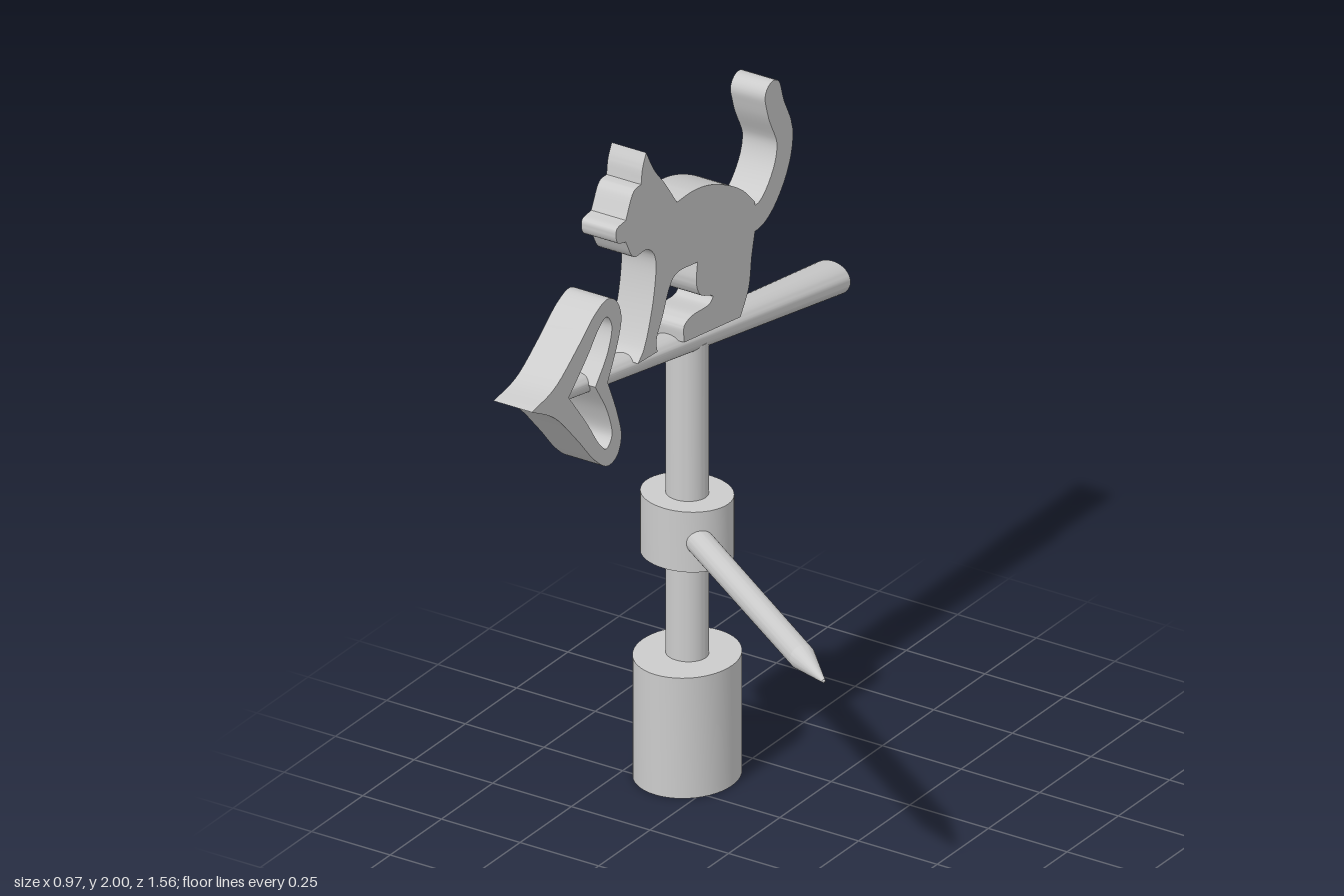
import * as THREE from 'three';
import { toCreasedNormals } from 'three/addons/utils/BufferGeometryUtils.js';

const V2 = (x, y) => new THREE.Vector2(x, y);
const V3 = (x, y, z) => new THREE.Vector3(x, y, z);
const UP = V3(0, 1, 0);
const POLE_X = -0.35, POLE_Z = -0.085;

// Smooth curve through [z, y] points given in hundredths
const smooth = (pts) => new THREE.CatmullRomCurve3(
  pts.map(([z, y]) => V3(z / 100, y / 100, 0)), false, 'centripetal');

// Closed outline of smooth runs; each run ends in a corner where the next begins
const outline = (runs) => runs.flatMap((run, i) => {
  const pts = [...run, runs[(i + 1) % runs.length][0]];
  return smooth(pts).getPoints((pts.length - 1) * 6).slice(0, -1).map((p) => V2(p.x, p.y));
});

// Half outline [z, height off the sloping arrow axis], mirrored to both sides
const heart = (half) => {
  const side = (sign) => half.map(([z, h]) => [z, 140 + 0.189 * (z - 41) + sign * h]);
  return outline([side(1).slice(0, -1), side(-1).reverse().slice(0, -1)]);
};

// Band of constant half width along a curve, with a round far end
const band = (pts, w) => {
  const curve = smooth(pts), left = [], right = [], cap = [];
  for (let i = 0; i <= 24; i++) {
    const p = curve.getPoint(i / 24), t = curve.getTangent(i / 24);
    left.push(V2(p.x - t.y * w, p.y + t.x * w));
    right.unshift(V2(p.x + t.y * w, p.y - t.x * w));
  }
  const end = curve.getPoint(1), t = curve.getTangent(1);
  for (let i = 1; i < 10; i++) {
    const a = Math.atan2(t.y, t.x) + Math.PI * (0.5 - i / 10);
    cap.push(V2(end.x + w * Math.cos(a), end.y + w * Math.sin(a)));
  }
  return [...left, ...cap, ...right];
};

export function createModel() {
  const model = new THREE.Group();
  const grey = new THREE.MeshStandardMaterial({ color: 0xcccccc });

  const add = (name, geometry, crease = 0.6) => {
    const mesh = new THREE.Mesh(toCreasedNormals(geometry, crease), grey);
    mesh.name = name;
    model.add(mesh);
    return mesh;
  };

  // Flat cut-out standing in the z-y plane, from x0 to x1
  const cutout = (name, points, x0, x1, hole) => {
    const shape = new THREE.Shape(points);
    if (hole) shape.holes.push(new THREE.Path(hole));
    const g = new THREE.ExtrudeGeometry(shape, { depth: x1 - x0, bevelEnabled: false });
    g.rotateY(-Math.PI / 2);
    g.translate(x1, 0, 0);
    add(name, g);
  };

  // Upright turned parts, slightly oval, with an optional hollow underneath
  const turned = (name, rx, rz, y0, y1, hollow = 0) => {
    const h = y1 - y0;
    const profile = [V2(0, hollow), V2(0.65, hollow), V2(1, 0), V2(1, h), V2(0, h)];
    const g = new THREE.LatheGeometry(profile, 48);
    g.scale(rx, 1, rz);
    g.translate(POLE_X, y0, POLE_Z);
    add(name, g);
  };
  turned('base', 0.142, 0.156, 0, 0.36, 0.07);
  turned('collar', 0.13, 0.114, 0.66, 0.84, 0.03);
  turned('pole', 0.059, 0.055, 0.3, 1.3);

  // Tapered sloping shaft, wider across than it is tall
  const tail = V3(-0.34, 1.19, -0.77), front = V3(-0.34, 1.428, 0.6);
  const dir = front.clone().sub(tail);
  const shaftGeo = new THREE.CylinderGeometry(0.027, 0.047, dir.length(), 40);
  shaftGeo.scale(1.33, 1, 1);
  const shaft = add('arrowShaft', shaftGeo);
  shaft.quaternion.setFromUnitVectors(UP, dir.normalize());
  shaft.position.lerpVectors(tail, front, 0.5);

  // Pointer spike on the collar
  const from = V3(-0.27, 0.746, -0.018);
  const spikeDir = V3(0.48, 0.765, 0.52).sub(from);
  const len = spikeDir.length();
  const spikeProfile = [V2(0, 0), V2(0.037, 0), V2(0.036, len - 0.16), V2(0.005, len - 0.003), V2(0, len)];
  const spike = add('spike', new THREE.LatheGeometry(spikeProfile, 40), 0.17);
  spike.quaternion.setFromUnitVectors(UP, spikeDir.normalize());
  spike.position.copy(from);

  // Heart-shaped arrowhead with a heart-shaped opening
  cutout('arrowhead',
    heart([[78, 0], [67, 4.4], [56, 13.6], [47, 22], [41, 25], [36.5, 23.2], [34.3, 18], [36, 11], [41, 0]]),
    -0.402, -0.28,
    heart([[60, 0], [51, 10], [44.5, 18], [41.5, 19.7], [39, 16.5], [41, 9], [47, 0]]));

  // Cat body: back, rump, sole, hind foot, belly, paw, front leg, muzzle, face, ear
  cutout('catBody', outline([
    [[21, 200], [17, 193], [12, 187]],
    [[6, 178.7], [-2, 178.7], [-10, 177], [-19, 173], [-26, 168.5]],
    [[-32, 162.5]],
    [[-32, 153.3], [-30.5, 147], [-29, 138]],
    [[-25, 131]],
    [[2.5, 135.2], [2.5, 140], [-1, 141.5], [-10, 141.5], [-11.5, 143], [-5.5, 146], [-3.5, 150]],
    [[-4, 156.5], [7.5, 157], [13, 147.5], [16, 141.5]],
    [[15.5, 138]],
    [[25, 138.5], [22, 141.8], [17, 157], [16.7, 167], [20.5, 170.8], [27, 171.3]],
    [[31, 177.5], [35, 179], [35.5, 183]],
    [[31, 184], [27, 191]],
    [[23.5, 191.5], [22.8, 196]],
  ]), -0.398, -0.288);

  // Curled tail
  cutout('catTail', band(
    [[-30, 157.5], [-35, 157.8], [-40, 161], [-45.3, 168.5], [-46.6, 176], [-42.5, 185.5], [-40.8, 191]], 0.039,
  ), -0.398, -0.288);

  return model;
}
